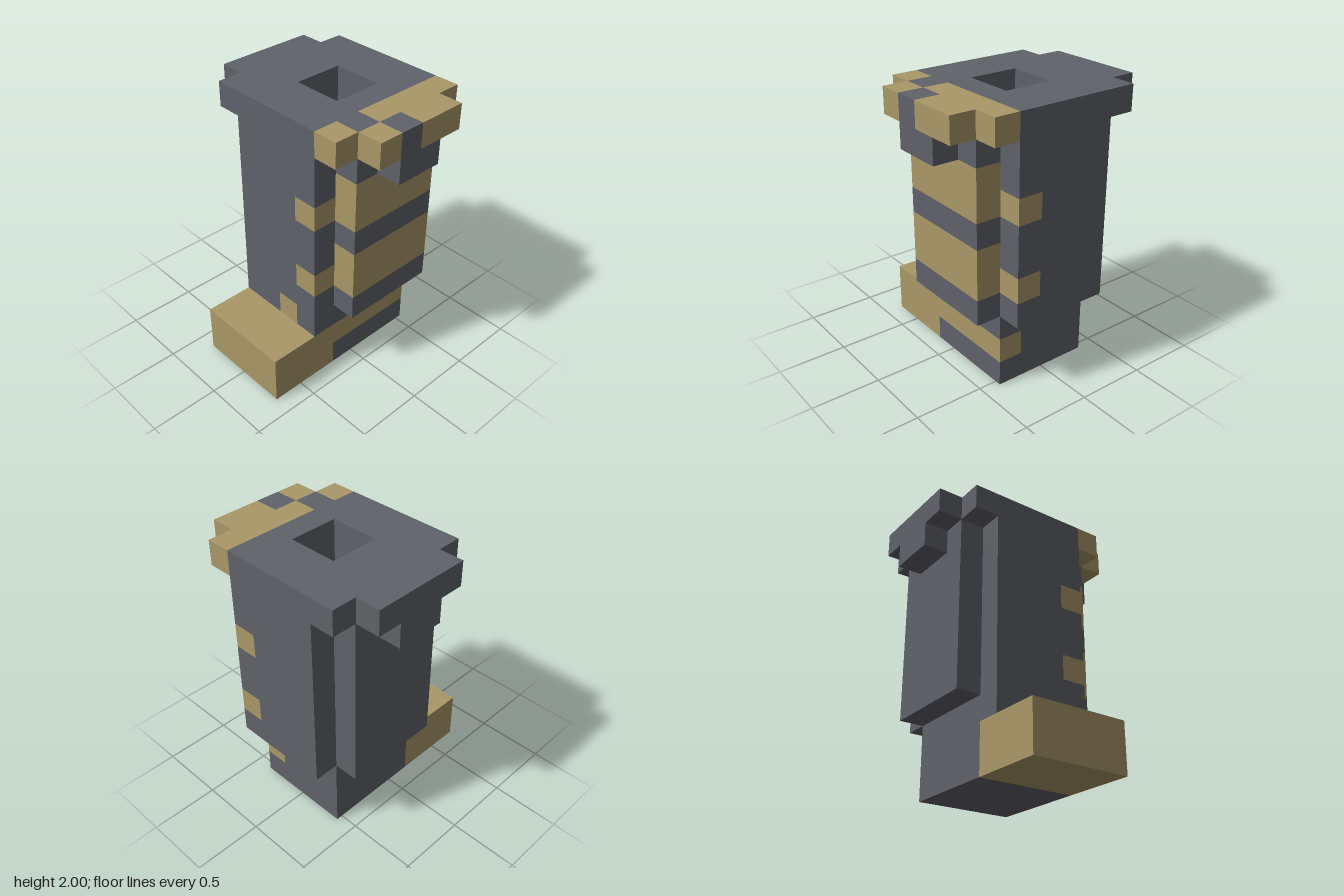
import * as THREE from 'three';

// The model sits on a grid of cubes, eleven units high
const U = 2 / 11;

export function createModel() {
  const model = new THREE.Group();
  model.name = 'blockTower';
  const grey = new THREE.MeshStandardMaterial({ color: 0x60626a });
  grey.name = 'slate grey';
  const gold = new THREE.MeshStandardMaterial({ color: 0xaa9868 });
  gold.name = 'dull gold';

  // Box between grid planes
  function block(name, mat, [x0, x1], [y0, y1], [z0, z1]) {
    const geo = new THREE.BoxGeometry((x1 - x0) * U, (y1 - y0) * U, (z1 - z0) * U);
    geo.translate((x0 + x1) / 2 * U, (y0 + y1) / 2 * U, (z0 + z1) / 2 * U);
    const mesh = new THREE.Mesh(geo, mat);
    mesh.name = name;
    model.add(mesh);
  }

  // Column of alternating bands; the first band is grey
  function bands(name, x, z, levels) {
    for (let i = 0; i < levels.length - 1; i++) {
      block(name, i % 2 ? gold : grey, x, [levels[i], levels[i + 1]], z);
    }
  }

  // Horizontal slab from an outline in x and z, pierced by the square well
  function slab(name, outline, y0, y1) {
    const toPoint = ([x, z]) => new THREE.Vector2(x * U, -z * U);
    const shape = new THREE.Shape(outline.map(toPoint));
    shape.holes.push(new THREE.Path([[-1, -2], [1, -2], [1, 0], [-1, 0]].map(toPoint)));
    const geo = new THREE.ExtrudeGeometry(shape, { depth: (y1 - y0) * U, bevelEnabled: false });
    geo.rotateX(-Math.PI / 2).translate(0, y0 * U, 0);
    const mesh = new THREE.Mesh(geo, grey);
    mesh.name = name;
    model.add(mesh);
  }

  // Foot and ankle
  block('foot', gold, [-2, 2], [0, 2], [1, 4]);
  block('heelBase', grey, [-2, 2], [0, 1], [-3, 1]);
  block('heel', grey, [-2, 1], [1, 2], [-3, 1]);
  block('heelStripe', gold, [1, 2], [1, 2], [-3, 1]);
  block('ankle', grey, [-2, 2], [2, 3], [-3, 1]);
  block('ankleFront', grey, [-2, 0], [2, 3], [1, 2]);
  block('ankleMark', gold, [0, 1], [2, 3], [1, 2]);
  block('ankleFront', grey, [1, 2], [2, 3], [1, 2]);

  // Shaft with banded corners on its left side
  block('shaft', grey, [-2, 1], [3, 9], [-4, 2]);
  block('shaftLeft', grey, [1, 2], [3, 9], [-3, 1]);
  for (const z of [[1, 2], [-4, -3]]) bands('shaftCorner', [1, 2], z, [3, 4, 5, 7, 8, 9]);

  // Side panels and the tabs under the rim
  block('rightPanel', grey, [-3, -2], [3, 10], [-3, 1]);
  bands('leftPanel', [2, 3], [-3, 1], [3, 4, 6, 7, 9, 10]);
  block('rightTab', grey, [-4, -3], [9, 10], [-2, 0]);
  block('leftTab', grey, [3, 4], [9, 10], [-2, 0]);

  // Collar and rim around the well
  slab('collar', [[-2, 2], [2, 2], [2, -4], [-2, -4]], 9, 10);
  slab('rim', [[-4, 1], [-3, 1], [-3, 2], [2, 2], [2, -4], [-3, -4], [-3, -3], [-4, -3]], 10, 11);

  // Patched left edge of the rim
  const top = [10, 11];
  block('rimEdge', gold, [2, 3], top, [-4, 0]);
  block('rimEdge', grey, [2, 3], top, [0, 1]);
  block('rimEdge', gold, [2, 3], top, [1, 2]);
  block('rimLip', gold, [3, 4], top, [-3, -1]);
  block('rimLip', grey, [3, 4], top, [-1, 0]);
  block('rimLip', gold, [3, 4], top, [0, 1]);

  return model;
}
